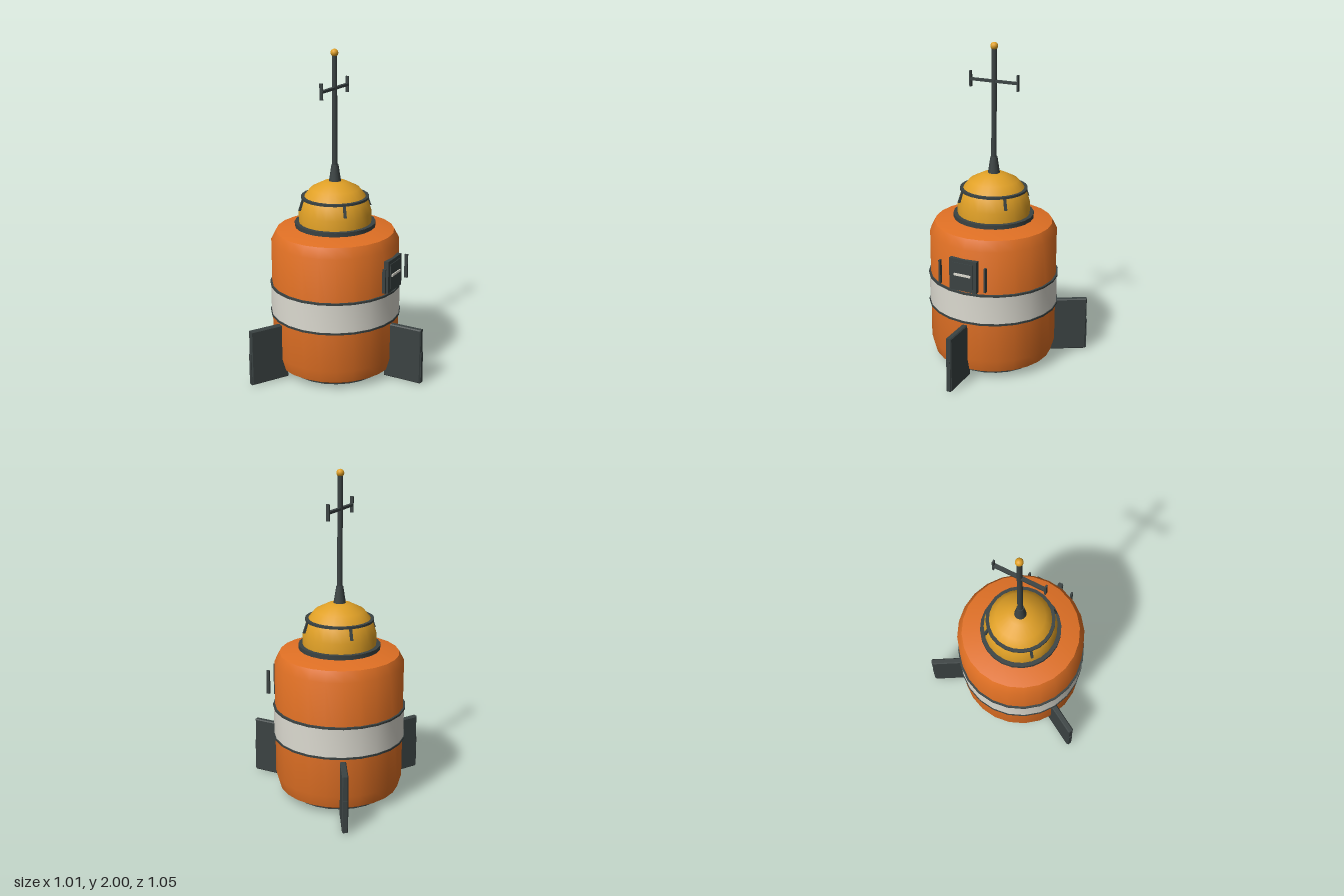
import * as THREE from 'three';
import { toCreasedNormals } from 'three/addons/utils/BufferGeometryUtils.js';

const orange = new THREE.MeshStandardMaterial({ name: 'orange hull paint', color: 0xe07024 });
const yellow = new THREE.MeshStandardMaterial({ name: 'amber yellow', color: 0xe0a026 });
const dark = new THREE.MeshStandardMaterial({ name: 'dark grey metal', color: 0x3b4343 });
const white = new THREE.MeshStandardMaterial({ name: 'off white', color: 0xdcdad0 });

const SIDES = 24;

function add(parent, name, geometry, material, x = 0, y = 0, z = 0) {
  const mesh = new THREE.Mesh(geometry, material);
  mesh.name = name;
  mesh.position.set(x, y, z);
  parent.add(mesh);
  return mesh;
}

// Turned part from [radius, height] pairs, listed from bottom to top
function turned(profile, crease = 0.55) {
  const points = profile.map(([r, y]) => new THREE.Vector2(r, y));
  return toCreasedNormals(new THREE.LatheGeometry(points, SIDES), crease);
}

// Square-section ring around the axis
function ring(inner, outer, y0, y1) {
  return turned([[inner, y0], [outer, y0], [outer, y1], [inner, y1], [inner, y0]]);
}

export function createModel() {
  const model = new THREE.Group();
  model.name = 'buoy';
  const buoy = new THREE.Group();
  buoy.name = 'buoyBody';
  buoy.position.x = -0.1;
  model.add(buoy);

  // Hull with chamfered ends
  add(buoy, 'hull', turned([
    [0, 0.01], [0.3, 0.01], [0.37, 0.05], [0.393, 0.13],
    [0.393, 0.845], [0.362, 0.905], [0.23, 0.935], [0, 0.935],
  ]), orange);

  // Light band between two dark hoops
  add(buoy, 'band', ring(0.38, 0.4, 0.38, 0.57), white);
  for (const y of [0.38, 0.568]) add(buoy, 'bandHoop', ring(0.38, 0.405, y - 0.006, y + 0.006), dark);

  // Base grille: hub, rim and radial blades
  add(buoy, 'baseHub', new THREE.CylinderGeometry(0.19, 0.19, 0.01, SIDES), dark, 0, 0.006);
  add(buoy, 'baseRim', ring(0.285, 0.298, 0.001, 0.011), dark);
  const blade = new THREE.BoxGeometry(0.13, 0.009, 0.045);
  for (let i = 0; i < 12; i++) {
    const a = (i * Math.PI) / 6;
    add(buoy, 'baseBlade', blade, dark, Math.cos(a) * 0.225, 0.0065, -Math.sin(a) * 0.225).rotation.y = a;
  }

  // Lamp dome on its collar
  add(buoy, 'domeCollar', ring(0.215, 0.247, 0.93, 0.957), dark);
  add(buoy, 'dome', turned([
    [0.222, 0.94], [0.222, 1.02], [0.197, 1.105], [0.148, 1.165], [0.07, 1.205], [0, 1.215],
  ], 0.7), yellow);

  // Guard hoop around the dome with four wedge brackets
  add(buoy, 'guardHoop', ring(0.187, 0.207, 1.104, 1.118), dark);
  const bracketShape = new THREE.Shape([[0.18, 1.11], [0.205, 1.11], [0.229, 1.04], [0.205, 1.04]]
    .map(([x, y]) => new THREE.Vector2(x, y)).reverse());
  const bracket = new THREE.ExtrudeGeometry(bracketShape, { depth: 0.016, bevelEnabled: false });
  bracket.translate(0, 0, -0.008);
  for (let i = 0; i < 4; i++) add(buoy, 'guardBracket', bracket, dark).rotation.y = Math.PI / 4 + (i * Math.PI) / 2;

  // Mast, socket and tip ball
  add(buoy, 'mastSocket', new THREE.CylinderGeometry(0.021, 0.038, 0.11, 12), dark, 0, 1.256);
  add(buoy, 'mast', new THREE.CylinderGeometry(0.015, 0.017, 0.67, 10), dark, 0, 1.635);
  add(buoy, 'mastBall', new THREE.SphereGeometry(0.023, 14, 10), yellow, 0, 1.977);

  // Cross aerial with upright ends
  add(buoy, 'crossbar', new THREE.BoxGeometry(0.022, 0.015, 0.31), dark, 0, 1.77);
  for (const s of [-1, 1]) {
    add(buoy, 'crossbarEnd', new THREE.BoxGeometry(0.02, 0.096, 0.01), dark, 0, 1.772, s * 0.155);
  }

  // Three bevelled fins, each with a thin wear strip on its outer edge
  const b = 0.006;
  const finShape = new THREE.Shape([[0.35, 0.006], [0.596, 0.006], [0.596, 0.358], [0.35, 0.358]]
    .map(([r, y]) => new THREE.Vector2(
      r + (r < 0.5 ? b : -b), y + (y < 0.2 ? b : -b))));
  const finGeometry = new THREE.ExtrudeGeometry(finShape, {
    depth: 0.024, bevelEnabled: true, bevelSize: b, bevelThickness: b, bevelSegments: 1,
  });
  finGeometry.translate(0, 0, -0.012);
  for (let i = 0; i < 3; i++) {
    const fin = new THREE.Group();
    fin.name = 'fin';
    fin.rotation.y = (i * Math.PI * 2) / 3;
    add(fin, 'finPlate', finGeometry, dark);
    add(fin, 'finStrip', new THREE.BoxGeometry(0.014, 0.2, 0.024), dark, 0.594, 0.11);
    buoy.add(fin);
  }

  // Access hatch on the left side, with pull handle and two guard rails
  const hatch = new THREE.Group();
  hatch.name = 'hatch';
  hatch.position.set(0.39, 0.687, 0);
  buoy.add(hatch);
  add(hatch, 'hatchFrame', new THREE.BoxGeometry(0.04, 0.2, 0.18), dark, 0, 0, 0);
  add(hatch, 'hatchDoor', new THREE.BoxGeometry(0.02, 0.155, 0.13), dark, 0.014, 0, 0);
  add(hatch, 'hatchHandle', new THREE.BoxGeometry(0.009, 0.014, 0.11), white, 0.026, 0.004, 0);
  for (const s of [-1, 1]) {
    add(hatch, 'hatchRail', new THREE.BoxGeometry(0.02, 0.15, 0.012), dark, 0.023, 0, s * 0.15);
  }

  return model;
}
